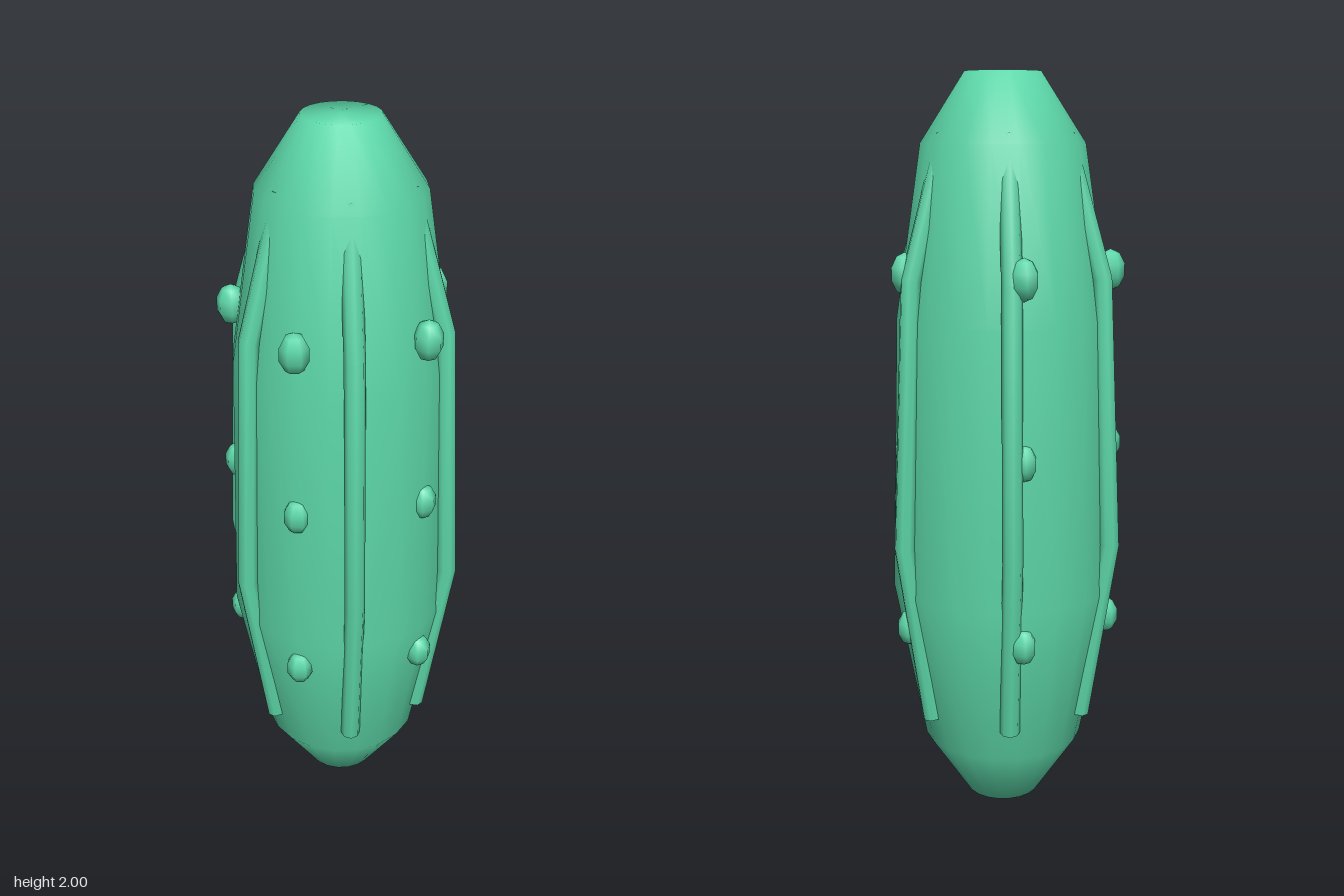
import * as THREE from 'three';

export function createModel() {
  const model = new THREE.Group();
  model.name = 'cucumber';
  const skin = new THREE.MeshStandardMaterial({ color: 0x5cd6a8 });
  skin.name = 'green skin';

  const fruit = new THREE.Group();
  fruit.name = 'fruit';
  fruit.position.z = -0.01;
  model.add(fruit);

  function add(parent, name, geometry) {
    const mesh = new THREE.Mesh(geometry, skin);
    mesh.name = name;
    parent.add(mesh);
    return mesh;
  }

  // Body: a smooth turned shape, fullest below the middle
  const profile = [[0, 0], [0.1, 0], [0.22, 0.18], [0.305, 0.63], [0.285, 1.37], [0.217, 1.82], [0.1, 2], [0, 2]]
    .map(([r, y]) => new THREE.Vector2(r, y));
  add(fruit, 'body', new THREE.LatheGeometry(profile, 20));

  // Ridges: six bent ribs whose upper ends sink into the body
  const path = [[0.236, 0.27], [0.317, 0.77], [0.284, 1.48], [0.175, 1.84]]
    .map(([r, y]) => new THREE.Vector3(r, y, 0));
  const curve = new THREE.CatmullRomCurve3(path);
  curve.getUtoTmapping = (u) => u; // one ring at each path point
  const ribRadius = 0.027;
  const ribGeometry = new THREE.TubeGeometry(curve, 3, ribRadius, 8, false);
  const capGeometry = new THREE.CircleGeometry(ribRadius, 8);
  for (let i = 0; i < 6; i++) {
    const ridge = new THREE.Group();
    ridge.name = 'ridge' + (i + 1);
    ridge.rotation.y = (i * Math.PI) / 3;
    add(ridge, 'rib', ribGeometry);
    for (const [name, t, sign] of [['lowerEnd', 0, -1], ['upperEnd', 1, 1]]) {
      const cap = add(ridge, name, capGeometry);
      cap.position.copy(curve.getPoint(t));
      cap.quaternion.setFromUnitVectors(new THREE.Vector3(0, 0, 1), curve.getTangent(t).multiplyScalar(sign));
    }
    fruit.add(ridge);
  }

  // Warts: three rings of five, the first of each facing the front
  const wartGeometry = new THREE.SphereGeometry(1, 7, 5).rotateY(Math.PI / 2);
  for (const [y, r, width, height] of [[0.535, 0.287, 0.037, 0.05], [1.03, 0.285, 0.037, 0.05], [1.495, 0.285, 0.04, 0.055]]) {
    for (let i = 0; i < 5; i++) {
      const a = (i * 2 * Math.PI) / 5;
      const wart = add(fruit, 'wart', wartGeometry);
      wart.position.set(r * Math.sin(a), y, r * Math.cos(a));
      wart.rotation.y = a;
      wart.scale.set(width, height, width);
    }
  }
  return model;
}
